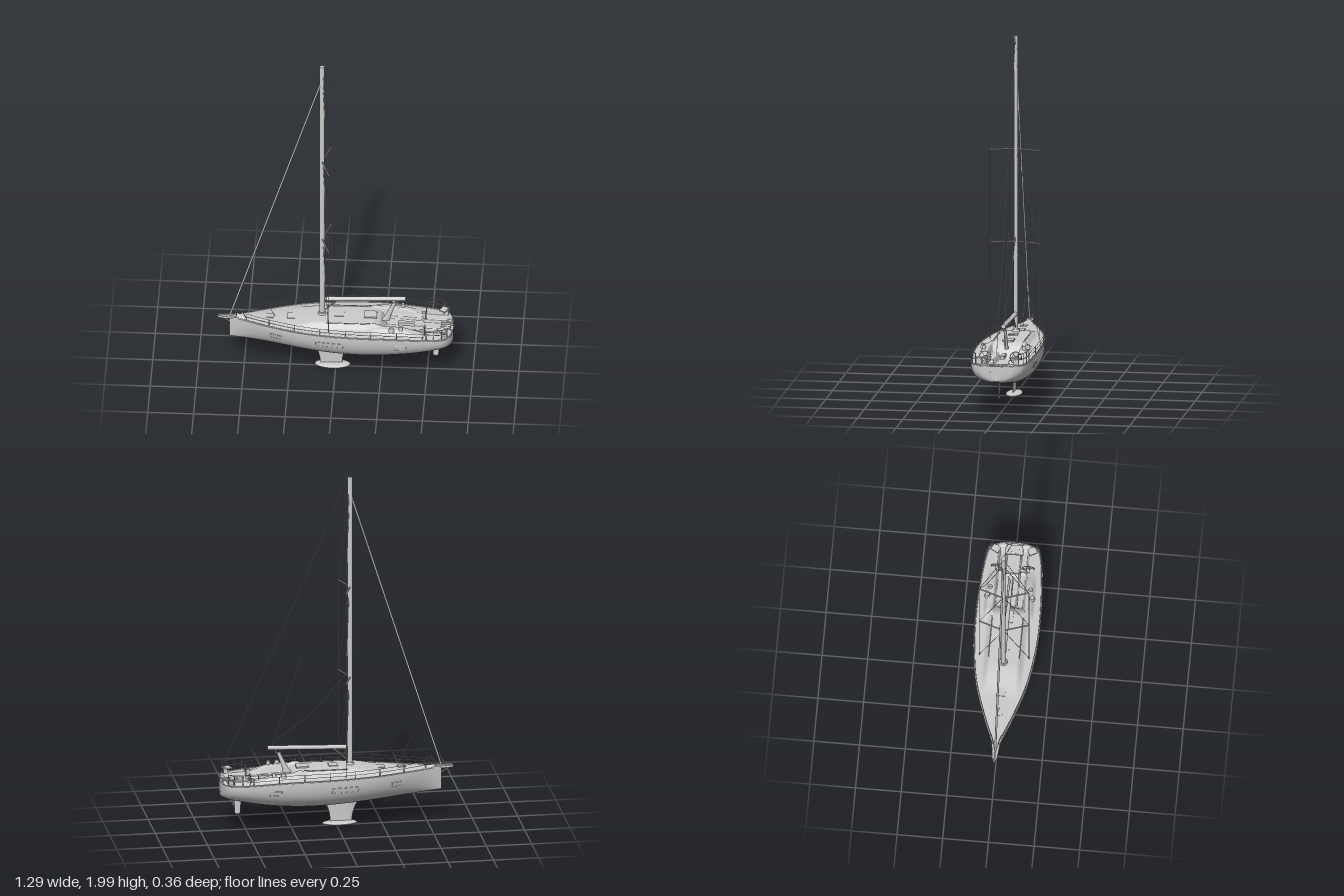
import * as THREE from 'three';

const V = (x, y, z = 0) => new THREE.Vector3(x, y, z);
const smooth = THREE.MathUtils.smoothstep;
const mat = new THREE.MeshStandardMaterial({ color: 0xcccccc });
const matDouble = new THREE.MeshStandardMaterial({ color: 0xcccccc, side: THREE.DoubleSide });

// Hull stations: x, half beam, keel height
const stations = new THREE.CatmullRomCurve3([
  V(-0.58, 0.178, 0.008), V(-0.5, 0.17, 0.036), V(-0.4, 0.16, 0.076), V(-0.2, 0.143, 0.14),
  V(0, 0.132, 0.172), V(0.2, 0.13, 0.181), V(0.4, 0.148, 0.172), V(0.54, 0.175, 0.157),
  V(0.6, 0.189, 0.138), V(0.63, 0.198, 0.1), V(0.643, 0.205, 0.035),
], false, 'centripetal').getPoints(120);

// Section at x: half beam b, keel k, sheer s and roundness n
function section(x) {
  let i = 1;
  while (i < stations.length - 1 && stations[i].x < x) i++;
  const p = stations[i - 1], q = stations[i];
  const f = THREE.MathUtils.clamp((x - p.x) / (q.x - p.x), 0, 1);
  return {
    b: p.z + (q.z - p.z) * f, k: p.y + (q.y - p.y) * f,
    s: 0.306 - 0.018 * smooth(x, 0.2, 0.64), n: 1.7 + 0.7 * smooth(x, -0.58, 0.1),
  };
}
function hullZ(x, y) {
  const { b, k, s, n } = section(x);
  return b * Math.pow(Math.max(0, 1 - Math.pow(Math.max(0, (s - y) / (s - k)), n)), 1 / n);
}

// Deck height: camber, coachroof, coamings and cockpit well
function deckY(x, z) {
  const { b, s } = section(x);
  const u = b > 0 ? z / b : 0, a = Math.abs(z);
  const edge = 1 - smooth(Math.abs(u), 0.94, 1);
  const roof = 0.026 * smooth(x, -0.28, -0.08) * (1 - smooth(x, 0.2, 0.27)) * (1 - smooth(a, 0.075, 0.115));
  const coaming = 0.022 * smooth(x, 0.16, 0.24) * (1 - smooth(x, 0.36, 0.48)) * smooth(a, 0.075, 0.09) * (1 - smooth(a, 0.115, 0.14));
  const bench = 0.022 * smooth(x, 0.245, 0.265) * (1 - smooth(x, 0.46, 0.475)) * (1 - smooth(a, 0.075, 0.085));
  const well = 0.032 * smooth(x, 0.265, 0.28) * (1 - smooth(a, 0.036, 0.044))
    + 0.03 * smooth(x, 0.465, 0.48) * (1 - smooth(x, 0.6, 0.615)) * (1 - smooth(a, 0.075, 0.085));
  return s + 0.013 * (1 - u * u) + edge * (roof + coaming - bench - well);
}

// Surface lofted from a rule f(u, v)
function loft(nu, nv, f) {
  const pos = [], idx = [];
  for (let i = 0; i <= nu; i++) for (let j = 0; j <= nv; j++) {
    pos.push(...f(i / nu, j / nv).toArray());
    if (i < nu && j < nv) {
      const a = i * (nv + 1) + j, b = a + nv + 1;
      idx.push(a, a + 1, b, b, a + 1, b + 1);
    }
  }
  const g = new THREE.BufferGeometry();
  g.setAttribute('position', new THREE.Float32BufferAttribute(pos, 3));
  g.setIndex(idx);
  g.computeVertexNormals();
  return g;
}

export function createModel() {
  const boat = new THREE.Group();
  boat.name = 'sailingYacht';
  const add = (name, geo, m = mat) => {
    const mesh = new THREE.Mesh(geo, m);
    mesh.name = name;
    boat.add(mesh);
    return mesh;
  };
  // Straight round bars through a list of points
  const line = (name, r, ...pts) => {
    for (let i = 1; i < pts.length; i++) {
      const d = pts[i].clone().sub(pts[i - 1]);
      const m = add(name, new THREE.CylinderGeometry(r, r, d.length(), 8));
      m.position.copy(pts[i]).add(pts[i - 1]).multiplyScalar(0.5);
      m.quaternion.setFromUnitVectors(V(0, 1), d.normalize());
    }
  };
  const tube = (name, r, pts, n = 40) =>
    add(name, new THREE.TubeGeometry(new THREE.CatmullRomCurve3(pts, false, 'centripetal'), n, r, 6));
  const box = (name, w, h, d, x, y, z) => {
    const m = add(name, new THREE.BoxGeometry(w, h, d));
    m.position.set(x, y, z);
    return m;
  };

  // Hull shell, closing ends and deck
  const hullPoint = (x, v) => {
    const { b, k, s, n } = section(x), t = v * Math.PI, c = Math.cos(t);
    return V(x, s - (s - k) * Math.pow(Math.max(0, Math.sin(t)), 2 / n), b * Math.sign(c) * Math.pow(Math.abs(c), 2 / n));
  };
  add('hull', loft(120, 48, (u, v) => hullPoint(stations[Math.round(u * 120)].x, v)), matDouble);
  for (const [name, x] of [['stem', -0.58], ['transom', 0.643]])
    add(name, loft(1, 24, (u, v) => {
      const p = hullPoint(x, v);
      p.z *= u;
      return p;
    }), matDouble);
  add('deck', loft(180, 100, (u, v) => {
    const x = -0.58 + 1.223 * u, z = (2 * v - 1) * section(x).b;
    return V(x, deckY(x, z), z);
  }), matDouble);

  // Keel fin and rudder: tapered foil sections
  const foil = (name, top, bottom) => add(name, loft(12, 32, (u, v) => {
    const t = v * Math.PI * 2, e = 1 - Math.pow(1 - u, 2.2);
    const [x0, x1, th] = top.map((q, i) => i < 3 ? q + (bottom[i] - q) * e : q);
    return V((x0 + x1) / 2 - Math.cos(t) * (x1 - x0) / 2, top[3] + (bottom[3] - top[3]) * u,
      Math.sin(t) * th * (0.75 + 0.25 * Math.cos(t)));
  }), matDouble);
  foil('keelFin', [-0.125, 0.065, 0.012, 0.14], [-0.085, 0.035, 0.008, 0.015]);
  foil('rudder', [0.515, 0.572, 0.006, 0.195], [0.53, 0.562, 0.004, 0.1]);
  const tip = add('rudderTip', new THREE.SphereGeometry(1, 16, 10));
  tip.scale.set(0.016, 0.012, 0.004);
  tip.position.set(0.546, 0.1, 0);
  const bulb = add('keelBulb', new THREE.SphereGeometry(1, 32, 16));
  bulb.scale.set(0.097, 0.013, 0.044);
  bulb.position.set(-0.018, 0.013, 0);

  // Mast, boom and their fittings
  const mast = add('mast', new THREE.CylinderGeometry(0.011, 0.012, 1.66, 16));
  mast.scale.x = 1.25;
  mast.position.set(-0.075, 1.16, 0);
  const collar = add('mastCollar', new THREE.CylinderGeometry(0.019, 0.024, 0.02, 16));
  collar.position.set(-0.075, 0.348, 0);
  line('boom', 0.013, V(-0.055, 0.444), V(0.382, 0.46));
  line('gooseneck', 0.006, V(-0.075, 0.445), V(-0.05, 0.445));
  line('boomVang', 0.004, V(-0.062, 0.37), V(0.015, 0.437));
  const post = add('mainsheetPost', loft(10, 20, (u, v) => {
    const t = v * Math.PI * 2, w = 0.024 - 0.014 * Math.sqrt(u);
    return V(0.272 + 0.048 * u + Math.cos(t) * w, 0.315 + 0.115 * u, Math.sin(t) * (0.011 - 0.003 * u));
  }), matDouble);
  post.name = 'mainsheetPost';
  line('mainsheet', 0.004, V(0.305, 0.43), V(0.335, 0.43), V(0.335, 0.46));

  // Standing and running rigging on the centreline
  const wire = 0.0016;
  line('forestay', 0.0055, V(-0.58, 0.31), V(-0.082, 1.88));
  line('backstay', wire, V(-0.06, 1.99), V(0.196, 1.365), V(0.434, 0.82), V(0.635, 0.35));
  line('lazyLine', wire, V(-0.06, 0.87), V(0.13, 0.65), V(0.35, 0.485));
  line('boomLift', wire, V(0.195, 0.965), V(0.35, 0.485), V(0.36, 0.46));
  line('foredeckLine', wire, V(-0.42, 0.49), V(-0.33, 0.312));

  // Bowsprit
  const sprit = new THREE.Shape([[-0.645, -0.006], [-0.62, -0.014], [-0.53, -0.024], [-0.53, 0.024], [-0.62, 0.014], [-0.645, 0.006]]
    .map(p => new THREE.Vector2(...p)));
  const bowsprit = add('bowsprit', new THREE.ExtrudeGeometry(sprit, { depth: 0.012, bevelEnabled: false }));
  bowsprit.rotation.x = -Math.PI / 2;
  bowsprit.position.y = 0.302;
  line('bobstay', 0.004, V(-0.63, 0.303), V(-0.578, 0.275));
  line('anchorShank', 0.004, V(-0.64, 0.317), V(-0.55, 0.32));

  // Hatches on the foredeck and coachroof
  for (const [x, w] of [[-0.36, 0.04], [-0.24, 0.05], [0.02, 0.05]])
    box('hatch', w, 0.006, w, x, deckY(x, 0) + 0.001, 0);
  box('companionway', 0.07, 0.008, 0.06, 0.19, deckY(0.19, 0) + 0.003, 0);
  box('swimPlatform', 0.055, 0.01, 0.1, 0.6, 0.281, 0);
  for (let i = 0; i < 5; i++) box('platformSlat', 0.05, 0.004, 0.012, 0.6, 0.287, -0.04 + 0.02 * i);
  box('cockpitTable', 0.09, 0.02, 0.022, 0.385, 0.295, 0);

  for (const s of [1, -1]) {
    const side = (x, dy = 0, inset = 0.006) => {
      const c = section(x);
      return V(x, c.s + dy, s * Math.max(0.004, c.b - inset));
    };
    const run = (x0, x1, n, dy) => Array.from({ length: n + 1 }, (_, i) => side(x0 + (x1 - x0) * i / n, dy));
    tube('toeRail', 0.0035, run(-0.58, 0.642, 60, 0.002), 140);

    // Spreaders and shrouds
    const tipAt = y => V(-0.032, y, s * 0.136);
    for (const y of [0.845, 1.36]) line('spreader', 0.004, V(-0.075, y), tipAt(y));
    line('capShroud', wire, tipAt(0.31), tipAt(1.36), V(-0.07, 1.96));
    line('upperShroud', wire, tipAt(1.36), V(-0.04, 1.45, s * 0.1), V(-0.07, 1.86));
    line('middleShroud', wire, tipAt(0.845), V(-0.07, 1.36));
    line('lowerShroud', wire, tipAt(0.32), V(-0.07, 0.83));

    // Guard rails and stanchions
    for (const dy of [0.024, 0.043]) tube('guardRail', 0.0014, run(-0.49, 0.52, 30, dy), 80);
    for (let x = -0.36; x < 0.5; x += 0.14) line('stanchion', 0.002, side(x), side(x, 0.044));

    // Bow pulpit and stern rail
    tube('bowPulpit', 0.0025, [side(-0.545), side(-0.54, 0.035), side(-0.525, 0.053), side(-0.51, 0.048), side(-0.49, 0.02), side(-0.485)], 30);
    for (const dy of [0.035, 0.065]) tube('sternRail', 0.0025, [side(0.5, dy), side(0.55, dy), side(0.59, dy), side(0.615, dy)], 30);
    for (const x of [0.5, 0.54, 0.585, 0.615]) line('sternRailPost', 0.0025, side(x), side(x, 0.065));
    const seat = box('sternSeat', 0.036, 0.007, 0.045, 0.585, 0.325, s * 0.1);
    seat.rotation.y = s * 0.5;
    box('sternLocker', 0.025, 0.035, 0.028, 0.597, 0.305, s * 0.1);

    // Winches on the coamings and steering wheels
    for (const [x, z, r] of [[0.31, 0.122, 0.016], [0.36, 0.11, 0.012]]) {
      const winch = add('winch', new THREE.CylinderGeometry(r * 0.7, r, 0.024, 16));
      winch.position.set(x, deckY(x, z) + 0.008, s * z);
    }
    const wheel = add('steeringWheel', new THREE.TorusGeometry(0.032, 0.0025, 8, 28));
    wheel.position.set(0.49, 0.31, s * 0.085);
    wheel.rotation.y = Math.PI / 2;
    for (let i = 0; i < 3; i++) {
      const a = i * Math.PI / 3, dy = Math.sin(a) * 0.032, dz = Math.cos(a) * 0.032;
      line('wheelSpoke', 0.0015, V(0.49, 0.31 - dy, s * 0.085 - dz), V(0.49, 0.31 + dy, s * 0.085 + dz));
    }
    box('wheelPedestal', 0.02, 0.05, 0.018, 0.476, 0.29, s * 0.085);

    // Coachroof grab rail
    tube('deckTrack', 0.0025, Array.from({ length: 9 }, (_, i) => {
      const x = -0.05 + 0.03 * i;
      return V(x, deckY(x, 0.085) + 0.005, s * 0.085);
    }), 24);

    // Hull windows with frames
    for (const [x0, x1, h] of [[-0.352, -0.292, 0.024], [-0.1, 0.048, 0.028], [0.325, 0.392, 0.024]]) {
      const at = (u, v, o) => {
        const x = x0 + (x1 - x0) * u, y = 0.249 + h * (v - 0.5);
        return V(x, y, s * (hullZ(x, y) + o));
      };
      add('hullWindow', loft(12, 4, (u, v) => at(u, v, 0.0015)), matDouble);
      const corners = [[0, 0], [0.5, 0], [1, 0], [1, 1], [0.5, 1], [0, 1], [0, 0]];
      line('windowFrame', 0.0015, ...corners.map(([u, v]) => at(u, v, 0.001)));
    }
  }
  return boat;
}
